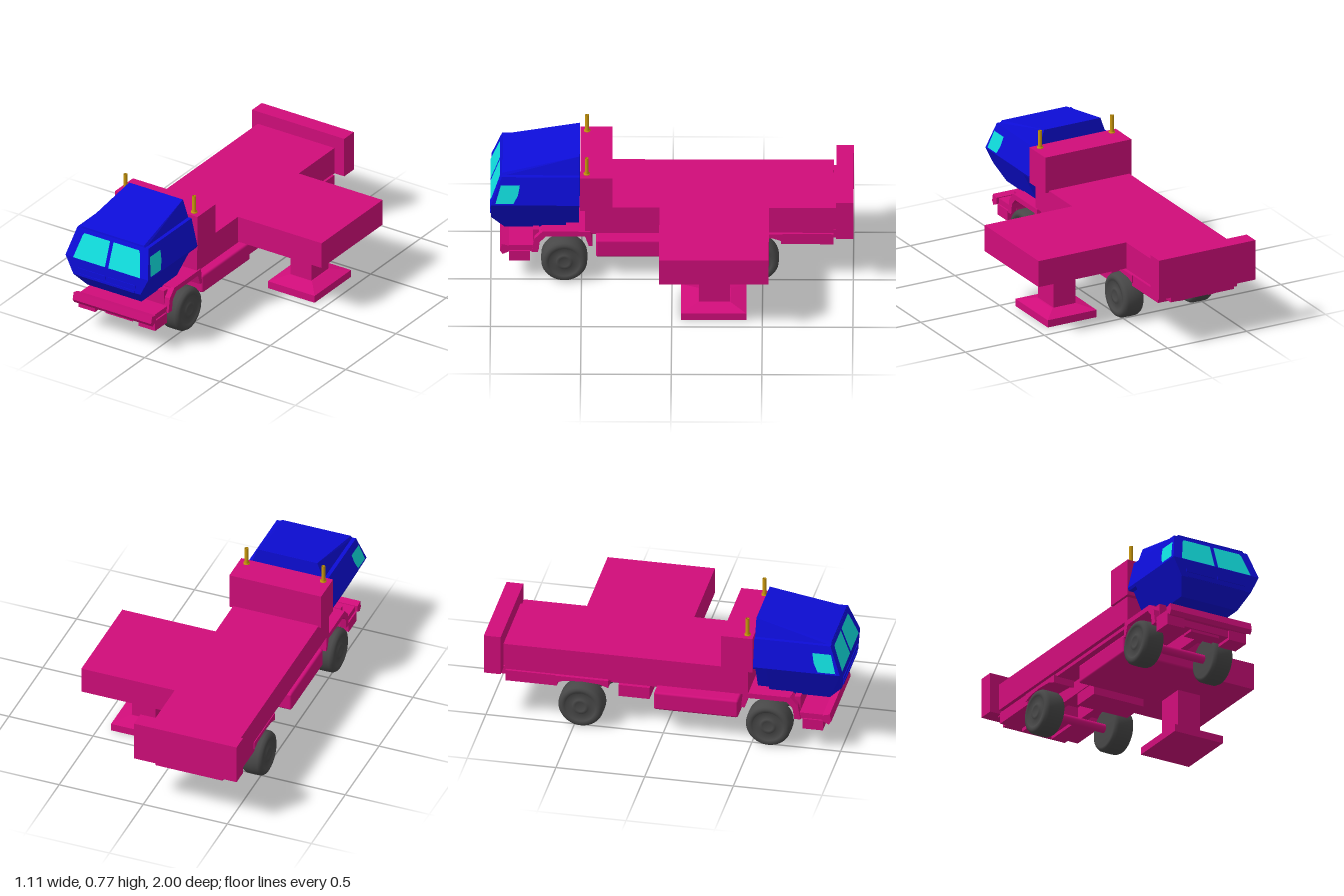
import * as THREE from 'three';
import { ConvexGeometry } from 'three/addons/geometries/ConvexGeometry.js';
import { RoundedBoxGeometry } from 'three/addons/geometries/RoundedBoxGeometry.js';

const paint = (color, opts = {}) => new THREE.MeshStandardMaterial({ color, ...opts });

export function createModel() {
  const model = new THREE.Group();
  const truck = new THREE.Group(); // the truck's own centre line is off to the right
  truck.name = 'truck';
  truck.position.x = -0.25;
  model.add(truck);

  const pink = paint(0xd00d7a);
  const blue = paint(0x0d0dd8);
  const glass = paint(0x10dddd, { side: THREE.DoubleSide });
  const gold = paint(0xc8960c);
  const rubber = paint(0x484848);

  function add(parent, name, geometry, material) {
    const mesh = new THREE.Mesh(geometry, material);
    mesh.name = name;
    parent.add(mesh);
    return mesh;
  }
  // Box given by its limits on each axis
  function box(parent, name, x0, x1, y0, y1, z0, z1, material = pink) {
    const g = new THREE.BoxGeometry(x1 - x0, y1 - y0, z1 - z0);
    g.translate((x0 + x1) / 2, (y0 + y1) / 2, (z0 + z1) / 2);
    return add(parent, name, g, material);
  }
  // Convex solid from rectangles [y, halfWidth, zBack, zFront]
  function hull(parent, name, levels, material) {
    const pts = [];
    for (const [y, w, z0, z1] of levels)
      for (const x of [-w, w]) pts.push(new THREE.Vector3(x, y, z0), new THREE.Vector3(x, y, z1));
    return add(parent, name, new ConvexGeometry(pts), material);
  }
  // Flat convex panel as a triangle fan
  function panel(parent, name, pts, material) {
    const index = [];
    for (let i = 1; i < pts.length - 1; i++) index.push(0, i, i + 1);
    const g = new THREE.BufferGeometry();
    g.setAttribute('position', new THREE.Float32BufferAttribute(pts.flat(), 3));
    g.setIndex(index);
    g.computeVertexNormals();
    return add(parent, name, g, material);
  }
  // Side profile of [z, y] points extruded from x0 to x1
  function profile(parent, name, pts, x0, x1, material = pink) {
    const shape = new THREE.Shape(pts.map(([z, y]) => new THREE.Vector2(z, y)));
    const g = new THREE.ExtrudeGeometry(shape, { depth: x1 - x0, bevelEnabled: false });
    g.rotateY(-Math.PI / 2).translate(x1, 0, 0);
    return add(parent, name, g, material);
  }

  // Cab
  const cab = new THREE.Group();
  cab.name = 'cab';
  truck.add(cab);
  hull(cab, 'cabShell', [
    [0.297, 0.18, 0.585, 0.925], [0.385, 0.222, 0.585, 1],
    [0.49, 0.274, 0.585, 1], [0.65, 0.235, 0.585, 0.94]], blue);
  hull(cab, 'cabRearUpper', [
    [0.475, 0.267, 0.51, 0.59], [0.49, 0.274, 0.51, 0.59], [0.65, 0.235, 0.51, 0.59]], blue);
  hull(cab, 'cabRearLower', [[0.31, 0.16, 0.515, 0.59], [0.48, 0.24, 0.515, 0.59]], blue);
  hull(cab, 'roofFairing', [
    [0.645, 0.215, 0.51, 0.94], [0.66, 0.205, 0.51, 0.938],
    [0.70, 0.178, 0.51, 0.75], [0.75, 0.178, 0.51, 0.512]], blue);

  // Windows and grille, mirrored
  const frontZ = y => 1.003 - (y - 0.49) * 0.375;
  const sideX = y => 0.277 - (y - 0.49) * 0.244;
  for (const s of [-1, 1]) {
    panel(cab, 'windscreen', [[0.011, 0.49], [0.222, 0.49], [0.19, 0.615], [0.18, 0.63], [0.011, 0.63]]
      .map(([x, y]) => [s * x, y, frontZ(y)]), glass);
    panel(cab, 'sideWindow', [[0.975, 0.5], [0.945, 0.605], [0.84, 0.605], [0.85, 0.55], [0.875, 0.5]]
      .map(([z, y]) => [s * sideX(y), y, z]), glass);
    const x = s * 0.1;
    box(cab, 'grilleSlat', x - 0.092, x + 0.092, 0.416, 0.434, 0.99, 1.004, blue);
  }
  box(cab, 'lowerGrille', -0.183, 0.183, 0.386, 0.4, 0.985, 1.004, blue);

  // Bodywork
  box(truck, 'engineHousing', -0.273, 0.273, 0.455, 0.667, 0.33, 0.507);
  box(truck, 'deck', -0.258, 0.25, 0.31, 0.465, -0.89, 0.48);
  box(truck, 'tailConnector', -0.228, 0.225, 0.31, 0.45, -0.92, -0.88);
  box(truck, 'tailBox', -0.305, 0.305, 0.297, 0.532, -1, -0.905);

  // Side platform with its support leg
  const side = new THREE.Group();
  side.name = 'sidePlatform';
  model.add(side);
  box(side, 'platform', -0.01, 0.555, 0.31, 0.465, -0.535, 0.07);
  box(side, 'leg', 0.2, 0.34, 0.04, 0.315, -0.32, -0.15);
  const foot = new THREE.Group();
  foot.name = 'foot';
  foot.position.set(0.273, 0, 0);
  side.add(foot);
  box(foot, 'footPlate', -0.155, 0.155, 0, 0.043, -0.412, -0.05);
  hull(foot, 'footTaper', [[0.043, 0.155, -0.412, -0.05], [0.068, 0.075, -0.325, -0.145]], pink);

  // Chassis
  const chassis = new THREE.Group();
  chassis.name = 'chassis';
  truck.add(chassis);
  box(chassis, 'subframe', -0.235, 0.235, 0.29, 0.312, -0.94, 0.72);
  box(chassis, 'rearSkirt', -0.25, 0.25, 0.23, 0.295, -0.89, -0.6);
  box(chassis, 'rearBar', -0.2, 0.2, 0.243, 0.295, -0.945, -0.88);
  const tank = add(chassis, 'underbodyTank', new RoundedBoxGeometry(0.5, 0.108, 0.475, 2, 0.012), pink);
  tank.position.set(0, 0.196, 0.183);
  box(chassis, 'gearHousing', -0.12, 0.2, 0.13, 0.2, -0.28, -0.105);
  for (const s of [-1, 1]) {
    const range = (a, b) => (s > 0 ? [a, b] : [-b, -a]);
    box(chassis, 'frameRail', ...range(0.075, 0.115), 0.21, 0.295, -0.88, 0.75);
    // Front fender wraps forward of and over the wheel
    profile(chassis, 'frontFender', [
      [0.775, 0.18], [0.74, 0.18], [0.73, 0.245], [0.695, 0.282], [0.48, 0.282], [0.46, 0.22],
      [0.44, 0.22], [0.45, 0.312], [0.715, 0.312], [0.76, 0.265]], ...range(0.125, 0.258));
    // Rear fender is a shallow arch
    profile(chassis, 'rearFender', [
      [-0.31, 0.25], [-0.36, 0.268], [-0.46, 0.275], [-0.56, 0.268], [-0.61, 0.25],
      [-0.61, 0.295], [-0.31, 0.295]], ...range(0.125, 0.255));
  }

  // Front panel and bumper
  box(chassis, 'frontPanel', -0.225, 0.225, 0.18, 0.305, 0.735, 0.768);
  box(chassis, 'bumperShelf', -0.245, 0.245, 0.18, 0.218, 0.76, 0.92);
  profile(chassis, 'bumperBar', [[0.9, 0.185], [0.935, 0.168], [0.95, 0.19], [0.94, 0.232], [0.9, 0.222]],
    -0.26, 0.26);
  box(chassis, 'bumperValance', -0.15, 0.15, 0.14, 0.185, 0.79, 0.89);
  box(chassis, 'bumperPlate', -0.09, 0.09, 0.125, 0.145, 0.8, 0.88);
  for (const x of [-0.199, 0.199])
    box(chassis, 'bumperStep', x - 0.055, x + 0.055, 0.123, 0.185, 0.785, 0.9);

  // Wheels: turned profile with rounded shoulders and a stepped hub
  const tyre = new THREE.LatheGeometry([
    [0, -0.062], [0.105, -0.062], [0.118, -0.056], [0.127, -0.04], [0.128, 0], [0.127, 0.04],
    [0.118, 0.056], [0.105, 0.062], [0.088, 0.062], [0.084, 0.05], [0.048, 0.05],
    [0.044, 0.06], [0.028, 0.06], [0.025, 0.054], [0, 0.054]]
    .map(([r, h]) => new THREE.Vector2(r, h)), 40);
  for (const z of [0.595, -0.462]) {
    for (const s of [-1, 1]) {
      const wheel = add(truck, z > 0 ? 'frontWheel' : 'rearWheel', tyre, rubber);
      wheel.position.set(s * 0.222, 0.128, z);
      wheel.rotation.z = -s * Math.PI / 2;
    }
    const axle = add(chassis, 'axle', new THREE.CylinderGeometry(0.025, 0.025, 0.38, 16), pink);
    axle.rotation.z = Math.PI / 2;
    axle.position.set(0, 0.128, z);
  }

  // Exhaust stacks on the engine housing
  const stack = new THREE.LatheGeometry([
    [0.018, 0], [0.018, 0.008], [0.011, 0.008], [0.011, 0.104], [0.008, 0.104], [0.008, 0.08], [0, 0.08]]
    .map(([r, h]) => new THREE.Vector2(r, h)), 20);
  for (const x of [-0.229, 0.227])
    add(truck, 'exhaustStack', stack, gold).position.set(x, 0.666, 0.471);

  return model;
}
